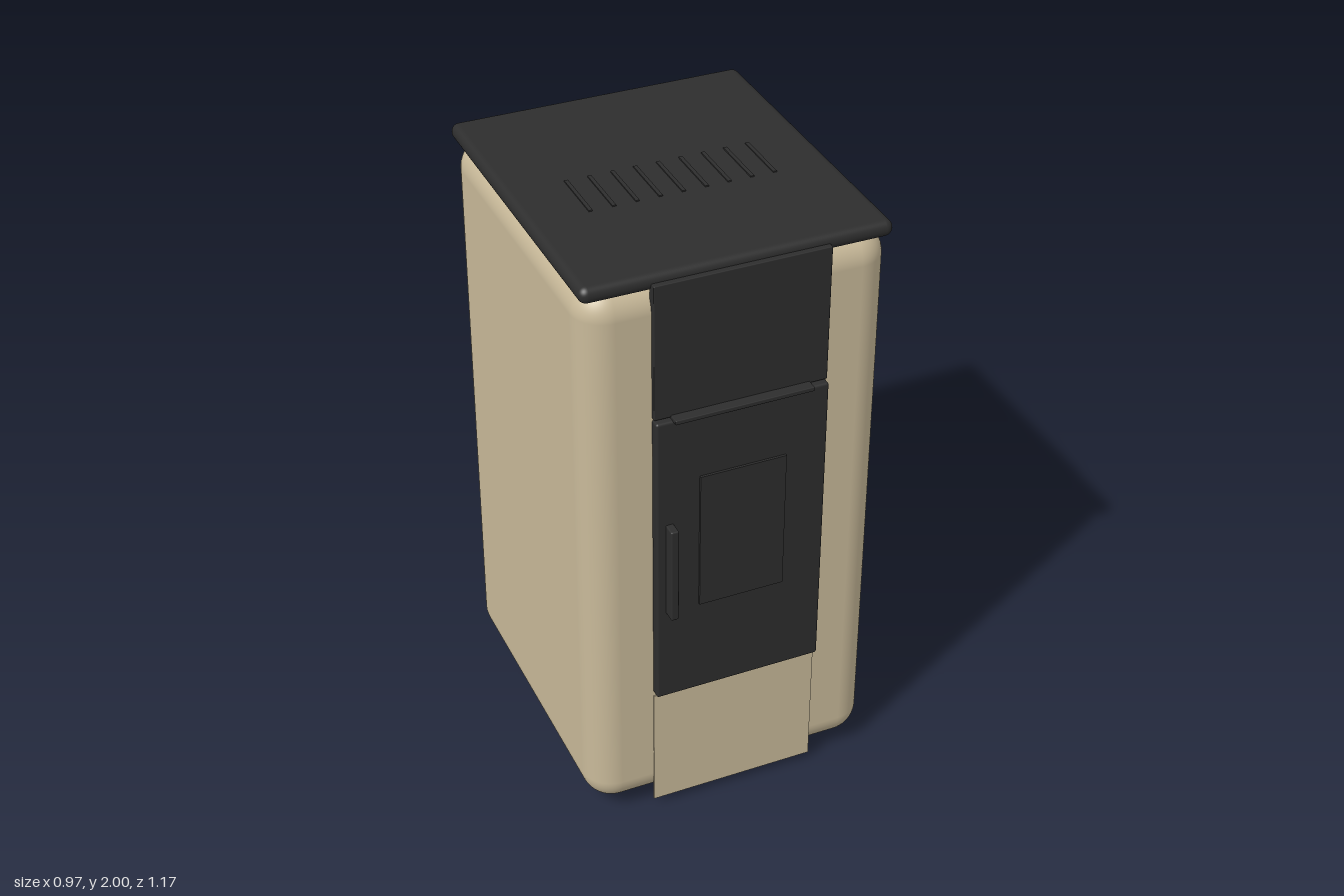
import * as THREE from 'three';
import { RoundedBoxGeometry } from 'three/addons/geometries/RoundedBoxGeometry.js';

const mat = (name, color) => {
  const m = new THREE.MeshStandardMaterial({ color });
  m.name = name;
  return m;
};

export function createModel() {
  const stove = new THREE.Group();
  stove.name = 'stove';
  const cream = mat('cream enamel', 0xc8b999);
  const black = mat('black metal', 0x2d2d2d);

  // Box given by its extents on each axis; a radius rounds the edges
  const block = (name, material, [x0, x1], [y0, y1], [z0, z1], radius = 0, segments = 3) => {
    const size = [x1 - x0, y1 - y0, z1 - z0];
    const geometry = radius
      ? new RoundedBoxGeometry(...size, segments, radius)
      : new THREE.BoxGeometry(...size);
    const mesh = new THREE.Mesh(geometry, material);
    mesh.name = name;
    mesh.position.set((x0 + x1) / 2, (y0 + y1) / 2, (z0 + z1) / 2);
    stove.add(mesh);
  };

  // Rounded casing and lid
  block('casing', cream, [-0.485, 0.485], [0.036, 1.97], [-0.582, 0.508], 0.1, 8);
  block('lid', black, [-0.486, 0.486], [1.943, 1.996], [-0.585, 0.505], 0.026, 5);

  // Row of raised vent slats on the lid
  for (let i = -4; i <= 4; i++) {
    const x = i * 0.0735;
    block('ventSlat', black, [x - 0.006, x + 0.006], [1.99, 2], [-0.09, 0.105]);
  }

  // Front column: upper panel, door and lower panel
  block('upperPanel', black, [-0.277, 0.277], [1.522, 1.972], [0.505, 0.525], 0.003);
  block('upperPanelReturn', black, [-0.277, 0.277], [1.88, 1.965], [0.495, 0.51]);
  block('door', black, [-0.278, 0.276], [0.482, 1.518], [0.505, 0.542], 0.008);
  block('lowerPanel', cream, [-0.277, 0.277], [0.026, 0.465], [0.505, 0.512]);

  // Door fittings
  block('window', black, [-0.14, 0.14], [0.82, 1.3], [0.541, 0.55]);
  block('handle', black, [-0.249, -0.223], [0.815, 1.15], [0.538, 0.584], 0.005);
  block('topGrip', black, [-0.225, 0.22], [1.514, 1.529], [0.52, 0.559], 0.003);

  // Feet, mirrored left and right
  for (const s of [-1, 1]) {
    block('foot', black, [s * 0.348 - 0.039, s * 0.348 + 0.039], [0, 0.045], [-0.125, 0.05], 0.01);
  }
  return stove;
}
